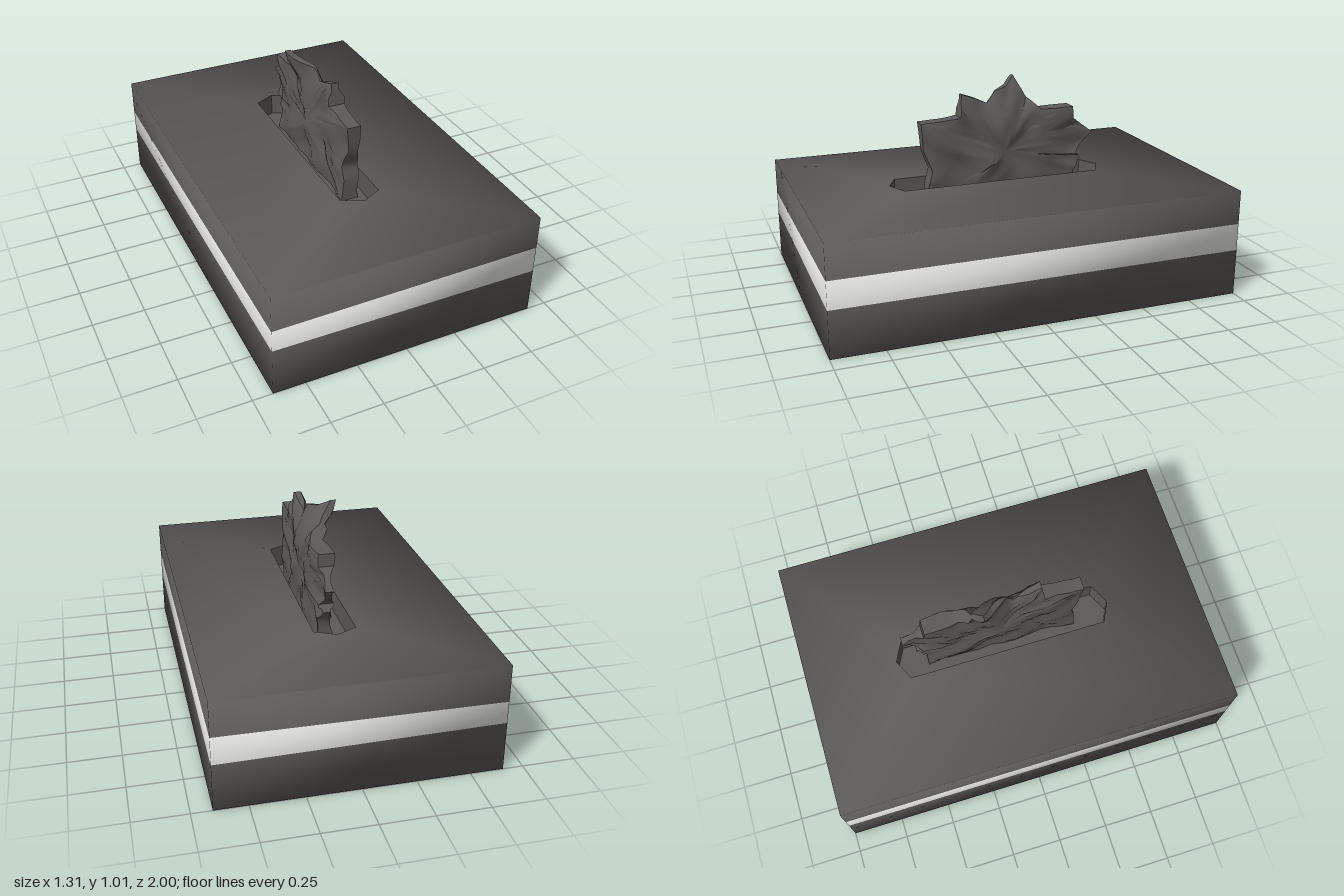
import * as THREE from 'three';
import { toCreasedNormals } from 'three/addons/utils/BufferGeometryUtils.js';

const W = 0.655, D = 1, H = 0.53, PIT = 0.42;

// upright panel between ground points a and b; low and high are [at a, at b]
function panel(a, b, low, high, nu = 1, nv = 1) {
  const geo = new THREE.PlaneGeometry(1, 1, nu, nv);
  const p = geo.attributes.position;
  const mix = THREE.MathUtils.lerp;
  for (let i = 0; i < p.count; i++) {
    const u = p.getX(i) + 0.5, v = p.getY(i) + 0.5;
    p.setXYZ(i, mix(a[0], b[0], u), mix(mix(low[0], low[1], u), mix(high[0], high[1], u), v), mix(a[1], b[1], u));
  }
  geo.computeVertexNormals();
  return geo;
}

// soft shading that rolls around the slab corners
function softNormals(geo) {
  const p = geo.attributes.position, n = new THREE.Vector3();
  for (let i = 0; i < p.count; i++) {
    n.set(p.getX(i) / W, (p.getY(i) - H / 2) / (H / 2), p.getZ(i) / D).normalize();
    geo.attributes.normal.setXYZ(i, n.x, n.y, n.z);
  }
  return geo;
}

// small repeatable roughness
const rough = (z, y, k) =>
  0.011 * Math.sin(23 * z + 9 * y + k) + 0.009 * Math.sin(31 * y - 17 * z + 2.3 * k) +
  0.005 * Math.sin(53 * z + 47 * y + 1.7 * k);

// ragged shard: rings grow from the middle to the outline, then return on the other side
function shardGeometry() {
  const outline = [
    [0.37, PIT], [0.37, 0.53], [0.35, 0.6], [0.39, 0.7], [0.4, 0.835], [0.3, 0.84], [0.205, 0.85],
    [0.19, 0.96], [0.12, 0.935], [0.055, 0.905], [0.01, 0.96], [-0.06, 0.975], [-0.115, 1.015],
    [-0.16, 0.915], [-0.22, 0.86], [-0.39, 0.86], [-0.395, 0.8], [-0.5, 0.72], [-0.41, 0.62],
    [-0.44, 0.59], [-0.395, 0.53], [-0.395, PIT], [-0.2, PIT], [0, PIT], [0.2, PIT],
  ];
  const pts = [];
  outline.forEach((a, i) => {
    const b = outline[(i + 1) % outline.length];
    for (let s = 0; s < 3; s++) {
      pts.push([a[0] + (b[0] - a[0]) * s / 3, a[1] + (b[1] - a[1]) * s / 3]);
    }
  });
  const steps = [0, 0.2, 0.4, 0.6, 0.78, 0.92, 1];
  const rings = [...steps.map(t => [t, 1]), ...steps.slice().reverse().map(t => [t, -1])];
  const pos = [], idx = [], n = pts.length;
  for (const [t, side] of rings) {
    for (const [oz, oy] of pts) {
      const z = -0.02 + (oz + 0.02) * t, y = 0.66 + (oy - 0.66) * t;
      const rim = oy > 0.9 ? 0.012 : oz < -0.42 ? 0.015 : 0.036;
      const half = THREE.MathUtils.lerp(0.046, rim, t ** 3);
      const lean = 0.02 - Math.max(0, y - 0.84) * 0.6 * Math.exp(-(((z + 0.12) / 0.12) ** 2));
      pos.push(lean + side * half + rough(z, y, side) * (1 - 0.4 * t), y, z);
    }
  }
  for (let r = 0; r < rings.length - 1; r++) {
    for (let i = 0; i < n; i++) {
      const j = (i + 1) % n;
      const a = r * n + i, b = a + n, d = r * n + j, c = d + n;
      idx.push(a, d, c, a, c, b);
    }
  }
  const geo = new THREE.BufferGeometry();
  geo.setAttribute('position', new THREE.Float32BufferAttribute(pos, 3));
  geo.setIndex(idx);
  return toCreasedNormals(geo, 0.8);
}

export function createModel() {
  const group = new THREE.Group();
  const stone = new THREE.MeshStandardMaterial({ name: 'dark stone', color: 0x5c5a58 });
  const pale = new THREE.MeshStandardMaterial({ name: 'pale band', color: 0xe4e4e0 });
  const add = (name, geo, mat) => {
    const mesh = new THREE.Mesh(geo, mat);
    mesh.name = name;
    group.add(mesh);
  };

  // slab walls in three layers; the band sits slightly uneven
  const corners = [[-W, D], [W, D], [W, -D], [-W, -D]];
  const bandLow = c => (c[0] < 0 ? 0.242 : 0.228);
  const bandHigh = c => (c[0] < 0 ? 0.35 : 0.362);
  const layers = [
    ['lowerWall', () => 0, bandLow, stone],
    ['bandWall', bandLow, bandHigh, pale],
    ['upperWall', bandHigh, () => H, stone],
  ];
  corners.forEach((a, i) => {
    const b = corners[(i + 1) % 4];
    for (const [name, low, high, mat] of layers) {
      add(name, softNormals(panel(a, b, [low(a), low(b)], [high(a), high(b)], 12, 2)), mat);
    }
  });

  // underside
  const under = new THREE.PlaneGeometry(2 * W, 2 * D, 8, 8).rotateX(Math.PI / 2);
  add('underside', softNormals(under), stone);

  // top with a pointed slot
  const slot = [[0, 0.55], [0.1, 0.5], [0.1, -0.5], [0, -0.55], [-0.1, -0.5], [-0.1, 0.5]];
  const toVectors = list => list.map(([x, y]) => new THREE.Vector2(x, y));
  const topShape = new THREE.Shape(toVectors(corners));
  topShape.holes.push(new THREE.Path(toVectors(slot)));
  const top = new THREE.ShapeGeometry(topShape).rotateX(-Math.PI / 2).translate(0, H, 0);
  add('top', softNormals(top), stone);

  // slot walls and floor
  slot.forEach((a, i) => {
    const b = slot[(i + 1) % slot.length];
    add('slotWall', panel(b, a, [PIT, PIT], [H, H]), stone);
  });
  const floor = new THREE.ShapeGeometry(new THREE.Shape(toVectors(slot)));
  add('slotFloor', floor.rotateX(-Math.PI / 2).translate(0, PIT, 0), stone);

  // ragged shard standing in the slot
  add('shard', shardGeometry(), stone);
  return group;
}
